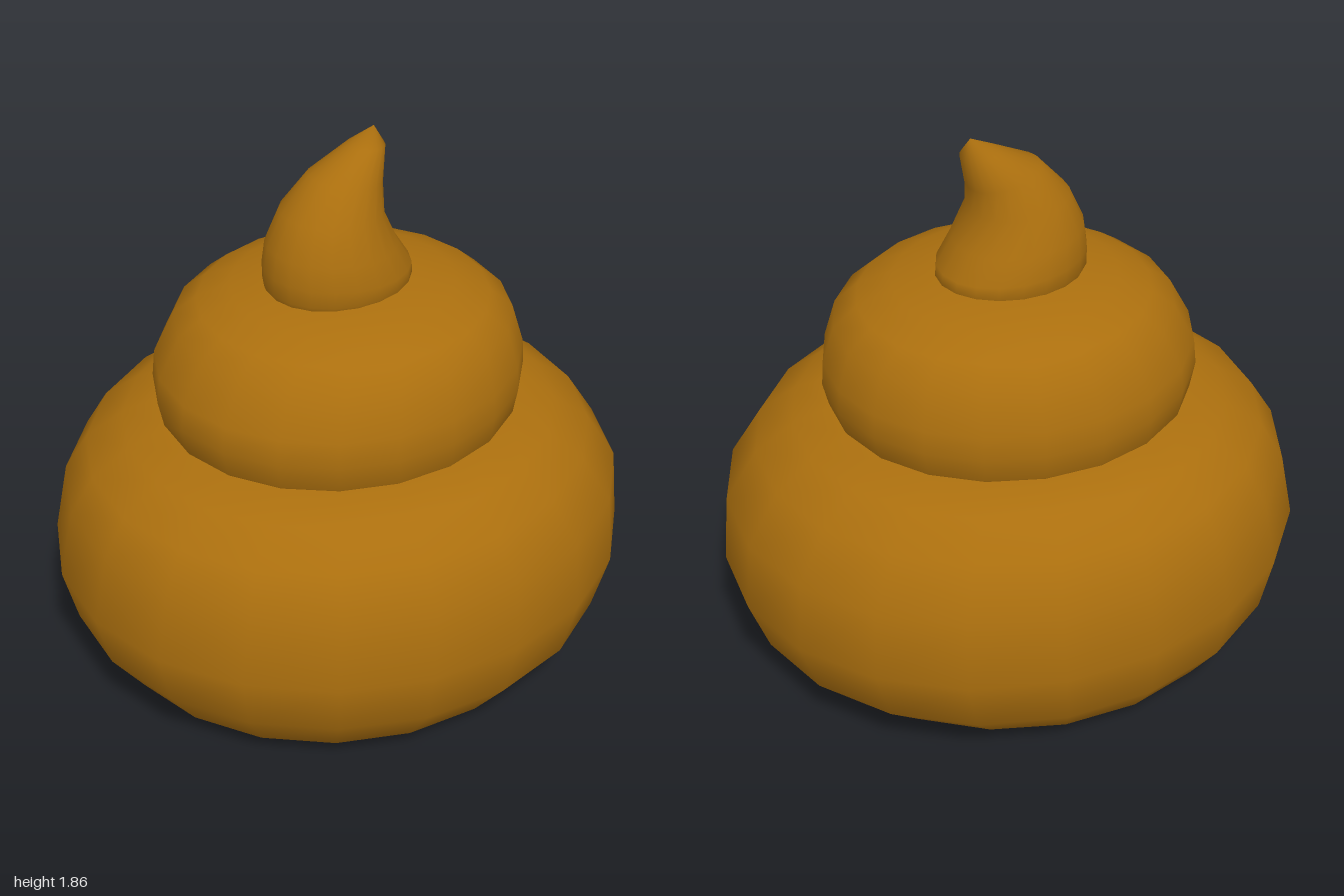
import * as THREE from 'three';
import { mergeVertices } from 'three/addons/utils/BufferGeometryUtils.js';

const SIDES = 20;

// Each ring is a tilted ellipse: [leftX, leftY, rightX, rightY, halfDepth]
function loftRings(rings) {
  const positions = [], index = [];
  for (const [x0, y0, x1, y1, depth] of rings) {
    for (let i = 0; i < SIDES; i++) {
      const a = (i / SIDES) * Math.PI * 2;
      const t = (Math.cos(a) + 1) / 2;
      positions.push(x0 + (x1 - x0) * t, y0 + (y1 - y0) * t, depth * Math.sin(a));
    }
  }
  for (let r = 0; r < rings.length - 1; r++) {
    for (let i = 0; i < SIDES; i++) {
      const a = r * SIDES + i, b = r * SIDES + (i + 1) % SIDES;
      index.push(a, a + SIDES, b, b, a + SIDES, b + SIDES);
    }
  }
  const geometry = new THREE.BufferGeometry();
  geometry.setAttribute('position', new THREE.Float32BufferAttribute(positions, 3));
  geometry.setIndex(index);
  const merged = mergeVertices(geometry, 1e-4); // joins the poles
  merged.computeVertexNormals();
  return merged;
}

// Wide bottom coil with a flat underside
const bottomRings = [
  [0, 0, 0, 0, 0],
  [-0.54, 0, 0.54, 0, 0.53],
  [-0.61, 0, 0.61, 0, 0.6],
  [-0.83, 0.075, 0.77, 0.05, 0.765],
  [-0.95, 0.24, 0.93, 0.18, 0.88],
  [-1, 0.43, 1, 0.37, 0.92],
  [-0.95, 0.66, 0.98, 0.61, 0.895],
  [-0.87, 0.785, 0.87, 0.78, 0.81],
  [-0.74, 0.87, 0.74, 0.87, 0.7],
  [-0.6, 0.925, 0.61, 0.92, 0.57],
  [0, 0.95, 0, 0.95, 0],
];

// Middle coil
const middleRings = [
  [0, 0.87, 0, 0.87, 0],
  [-0.58, 0.88, 0.58, 0.88, 0.54],
  [-0.615, 0.93, 0.615, 0.93, 0.575],
  [-0.635, 1.02, 0.635, 1.01, 0.585],
  [-0.625, 1.11, 0.63, 1.09, 0.58],
  [-0.55, 1.245, 0.59, 1.22, 0.535],
  [-0.47, 1.3, 0.51, 1.29, 0.465],
  [-0.36, 1.345, 0.39, 1.34, 0.36],
  [-0.21, 1.37, 0.24, 1.37, 0.21],
  [0, 1.38, 0, 1.38, 0],
];

// Top swirl curling towards +x
const tipRings = [
  [0, 1.32, 0, 1.32, 0],
  [-0.24, 1.33, 0.23, 1.33, 0.2],
  [-0.262, 1.38, 0.25, 1.365, 0.22],
  [-0.262, 1.44, 0.245, 1.405, 0.222],
  [-0.25, 1.52, 0.19, 1.49, 0.205],
  [-0.2, 1.63, 0.14, 1.6, 0.165],
  [-0.1, 1.74, 0.148, 1.69, 0.115],
  [0.04, 1.81, 0.172, 1.8, 0.06],
  [0.14, 1.86, 0.14, 1.86, 0],
];

export function createModel() {
  const brown = new THREE.MeshStandardMaterial({ color: 0xab6f0e });
  brown.name = 'brown';
  const group = new THREE.Group();
  group.name = 'swirl';
  const parts = { bottomCoil: bottomRings, middleCoil: middleRings, curledTip: tipRings };
  for (const [name, rings] of Object.entries(parts)) {
    const mesh = new THREE.Mesh(loftRings(rings), brown);
    mesh.name = name;
    group.add(mesh);
  }
  return group;
}
